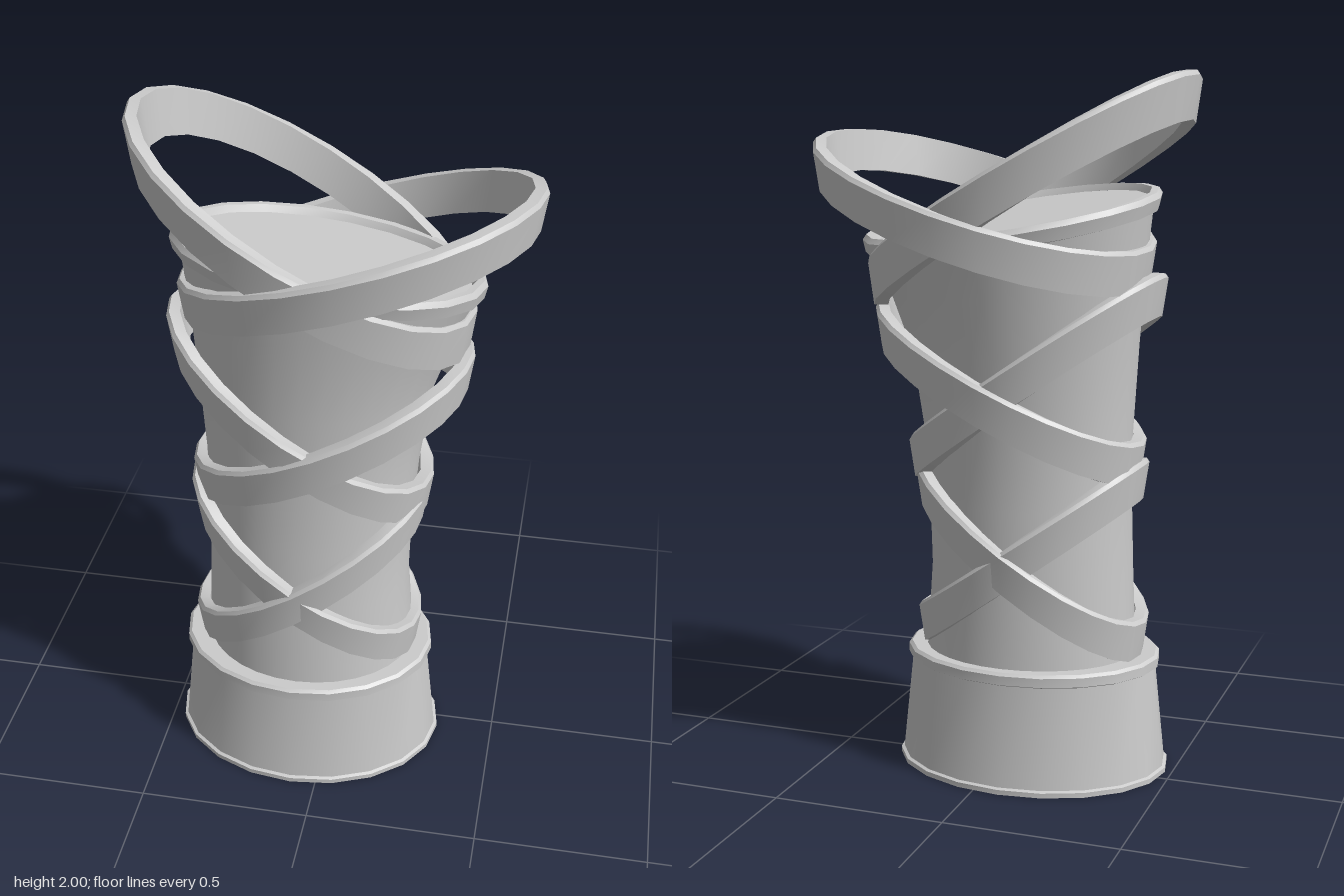
import * as THREE from 'three';
import { toCreasedNormals } from 'three/addons/utils/BufferGeometryUtils.js';

const SIDES = 20;
const material = new THREE.MeshStandardMaterial({ color: 0xcccccc });

// Skin elliptical sections: { y, cx, cz, rx, rz, tx, tz }; tx/tz raise the +x/+z ends
function loft(name, sections, sides = SIDES) {
  const pos = [], index = [];
  for (const { y, cx, cz, rx, rz, tx = 0, tz = 0 } of sections) {
    for (let j = 0; j < sides; j++) {
      const t = (j / sides) * Math.PI * 2, c = Math.cos(t), s = Math.sin(t);
      pos.push(cx + rx * c, y + tx * c + tz * s, cz + rz * s);
    }
  }
  for (let i = 0; i < sections.length - 1; i++) {
    for (let j = 0; j < sides; j++) {
      const k = (j + 1) % sides;
      const a = i * sides + j, b = i * sides + k, c = a + sides, d = b + sides;
      index.push(a, c, b, b, c, d);
    }
  }
  const geo = new THREE.BufferGeometry();
  geo.setAttribute('position', new THREE.Float32BufferAttribute(pos, 3));
  geo.setIndex(index);
  const mesh = new THREE.Mesh(toCreasedNormals(geo, 0.65), material);
  mesh.name = name;
  return mesh;
}

// Section from its extents
const span = (y, x0, x1, z0, z1, tx = 0, tz = 0) => ({
  y, cx: (x0 + x1) / 2, cz: (z0 + z1) / 2, rx: (x1 - x0) / 2, rz: (z1 - z0) / 2, tx, tz,
});

// Tilted flat hoop, flaring slightly towards its top edge
function hoop(name, { x, z, left, right, tz = 0, h = 0.12 }) {
  const thick = 0.04, flare = 0.018;
  const ring = (dy, inset) => span((left + right) / 2 + dy,
    x[0] + inset, x[1] - inset, z[0] + inset, z[1] - inset, (right - left) / 2, tz);
  return loft(name, [
    ring(-h / 2, flare), ring(h / 2 - 0.012, 0.002), ring(h / 2, 0.01),
    ring(h / 2, thick), ring(-h / 2, thick + flare), ring(-h / 2, flare),
  ], 24);
}

export function createModel() {
  const model = new THREE.Group();

  // Base: recessed underside, foot lip, tapering wall, top lip
  const baseRing = (y, rx, rz) => ({ y, cx: -0.075, cz: 0.05, rx, rz });
  model.add(loft('base', [
    baseRing(0.03, 0.001, 0.001), baseRing(0.03, 0.365, 0.285),
    baseRing(0, 0.37, 0.29), baseRing(0, 0.405, 0.322), baseRing(0.014, 0.405, 0.322),
    baseRing(0.018, 0.396, 0.313), baseRing(0.31, 0.365, 0.29),
    baseRing(0.316, 0.377, 0.303), baseRing(0.342, 0.377, 0.303),
    baseRing(0.35, 0.368, 0.294), baseRing(0.35, 0.28, 0.22),
  ]));

  // Radial ribs under the base
  const ribs = new THREE.Group();
  ribs.name = 'baseRibs';
  const ribCount = 20;
  for (let i = 0; i < ribCount; i++) {
    const t = (i / ribCount) * Math.PI * 2;
    const ex = 0.368 * Math.cos(t), ez = 0.288 * Math.sin(t);
    const length = Math.hypot(ex, ez);
    const rib = new THREE.Mesh(new THREE.BoxGeometry(length, 0.024, 0.014), material);
    rib.name = 'baseRib';
    rib.position.set(-0.075 + ex / 2, 0.02, 0.05 + ez / 2);
    rib.rotation.y = -Math.atan2(ez, ex);
    ribs.add(rib);
  }
  model.add(ribs);

  // Waisted body leaning into a slanted top
  model.add(loft('body', [
    span(0.33, -0.38, 0.245, -0.215, 0.31),
    span(0.6, -0.37, 0.225, -0.212, 0.3),
    span(0.8, -0.365, 0.23, -0.212, 0.292),
    span(1.0, -0.367, 0.245, -0.217, 0.288),
    span(1.24, -0.385, 0.275, -0.25, 0.296, -0.01, 0.01),
    span(1.42, -0.402, 0.33, -0.285, 0.312, -0.03, 0.025),
    span(1.59, -0.425, 0.39, -0.325, 0.335, -0.055, 0.05),
  ], 32));

  // Rim and recessed lid
  const topRing = (y, rx, rz) => ({ y, cx: -0.02, cz: 0.005, rx, rz, tx: -0.055, tz: 0.05 });
  model.add(loft('rim', [
    topRing(1.565, 0.39, 0.315), topRing(1.57, 0.422, 0.342), topRing(1.605, 0.43, 0.352),
    topRing(1.62, 0.42, 0.342), topRing(1.62, 0.4, 0.322), topRing(1.6, 0.388, 0.312),
  ]));
  const k = 0.002;
  model.add(loft('lid', [
    topRing(1.6, 0.39, 0.314),
    { ...topRing(1.6, 0.39 * k, 0.314 * k), tx: -0.055 * k, tz: 0.05 * k },
  ]));

  // Crossing pairs of hoops, alternately rising to each side
  const hoops = [
    ['lowerHoopLeft', { x: [-0.42, 0.28], z: [-0.25, 0.34], left: 0.4, right: 0.865 }],
    ['lowerHoopRight', { x: [-0.415, 0.27], z: [-0.245, 0.335], left: 0.865, right: 0.4 }],
    ['middleHoopLeft', { x: [-0.41, 0.39], z: [-0.29, 0.35], left: 0.92, right: 1.3 }],
    ['middleHoopRight', { x: [-0.465, 0.29], z: [-0.28, 0.345], left: 1.395, right: 0.9 }],
    ['upperHoopLeft', { x: [-0.435, 0.555], z: [-0.425, 0.425], left: 1.47, right: 1.78, tz: 0.05 }],
    ['upperHoopRight', { x: [-0.56, 0.385], z: [-0.415, 0.385], left: 1.935, right: 1.41, h: 0.13 }],
  ];
  for (const [name, options] of hoops) model.add(hoop(name, options));

  return model;
}
